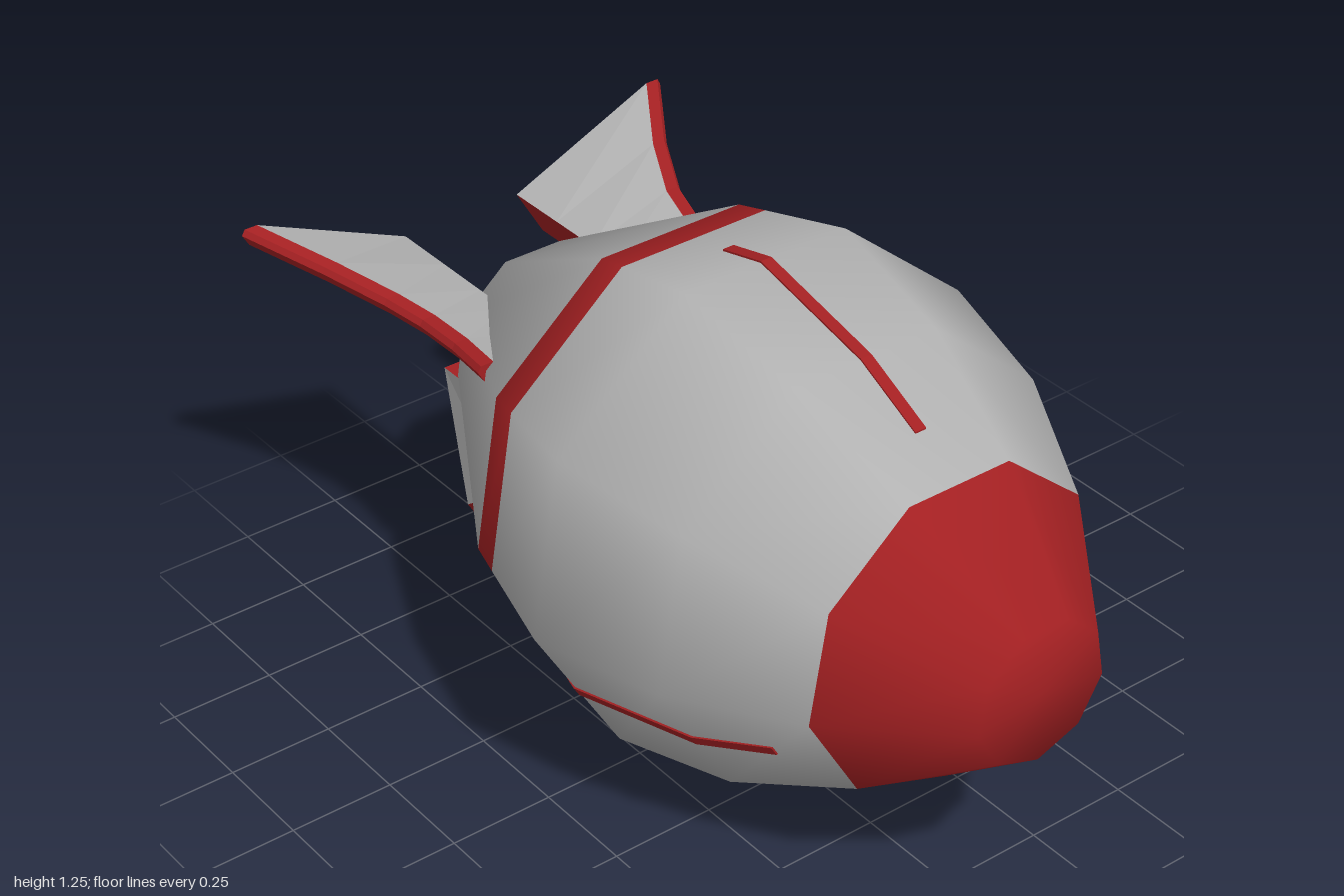
import * as THREE from 'three';

const AXIS_Y = 0.665; // height of the hull's long axis
const SIDES = 9;

export function createModel() {
  const grey = new THREE.MeshStandardMaterial({ name: 'hull grey', color: 0xb2b2b2 });
  const red = new THREE.MeshStandardMaterial({ name: 'trim red', color: 0xa32022 });

  const rocket = new THREE.Group();
  rocket.name = 'rocket';
  rocket.position.y = AXIS_Y;

  // Hull: nine-sided lathe along x, with a red band and a red nose
  const profile = [
    [0, -0.715], [0.22, -0.715], [0.532, -0.195], [0.553, -0.115],
    [0.615, 0.125], [0.535, 0.445], [0.38, 0.735], [0.167, 1], [0, 1],
  ];
  const redRows = [2, 6, 7];
  const hullGeo = new THREE.LatheGeometry(
    profile.map(([r, x]) => new THREE.Vector2(r, x)), SIDES, Math.PI / 2);
  const rows = profile.length - 1;
  for (let i = 0; i < SIDES * rows; i++) {
    hullGeo.addGroup(i * 6, 6, redRows.includes(i % rows) ? 1 : 0);
  }
  hullGeo.rotateZ(-Math.PI / 2);
  const hull = new THREE.Mesh(hullGeo, [grey, red]);
  hull.name = 'hull';
  rocket.add(hull);

  // Fins: wedge cross-sections swept along x, with red edges and ends
  const finGeo = finGeometry();
  [['bottomFin', Math.PI], ['leftFin', Math.PI / 3], ['rightFin', -Math.PI / 3]].forEach(([name, angle]) => {
    const fin = new THREE.Mesh(finGeo, [grey, red]);
    fin.name = name;
    fin.rotation.x = angle;
    rocket.add(fin);
  });

  // Accent stripes: thin plates following the hull's flat facets
  const line = [[0, 0.548], [0.125, 0.578], [0.445, 0.503], [0.615, 0.417]];
  const outline = [
    ...line.map(([x, r]) => new THREE.Vector2(x, r + 0.004)),
    ...line.slice().reverse().map(([x, r]) => new THREE.Vector2(x, r - 0.004)),
  ];
  const stripeGeo = new THREE.ExtrudeGeometry(new THREE.Shape(outline), { depth: 0.028, bevelEnabled: false });
  stripeGeo.translate(0, 0, -0.014);
  [['topStripe', 0], ['leftStripe', Math.PI * 2 / 3], ['rightStripe', -Math.PI * 2 / 3]].forEach(([name, angle]) => {
    const stripe = new THREE.Mesh(stripeGeo, red);
    stripe.name = name;
    stripe.rotation.x = angle;
    rocket.add(stripe);
  });

  const model = new THREE.Group();
  model.name = 'finnedRocket';
  model.add(rocket);
  return model;
}

// One fin pointing along +y: [x, outer radius] stations, wedge-shaped sections
function finGeometry() {
  const stations = [[-1, 0.663], [-0.84, 0.545], [-0.7, 0.467], [-0.6, 0.437], [-0.48, 0.434], [-0.355, 0.455]];
  const sections = stations.map(([x, r]) => [
    [0.22, -0.07], [r - 0.028, -0.024], [r, -0.008],
    [r, 0.008], [r - 0.028, 0.024], [0.22, 0.07],
  ].map(([y, z]) => [x, y, z]));

  const faces = [[], []]; // grey sides, red edges
  for (let s = 0; s < sections.length - 1; s++) {
    const a = sections[s], b = sections[s + 1];
    for (let k = 0; k < 6; k++) {
      const n = (k + 1) % 6;
      const side = k === 0 || k === 4;
      faces[side ? 0 : 1].push(a[k], a[n], b[n], a[k], b[n], b[k]);
    }
  }
  // End faces
  const back = sections[0], front = sections[sections.length - 1];
  for (let k = 1; k < 5; k++) {
    faces[1].push(front[0], front[k], front[k + 1], back[0], back[k + 1], back[k]);
  }

  const geo = new THREE.BufferGeometry();
  geo.setAttribute('position', new THREE.Float32BufferAttribute(faces.flat(2), 3));
  geo.addGroup(0, faces[0].length, 0);
  geo.addGroup(faces[0].length, faces[1].length, 1);
  geo.computeVertexNormals();
  return geo;
}
